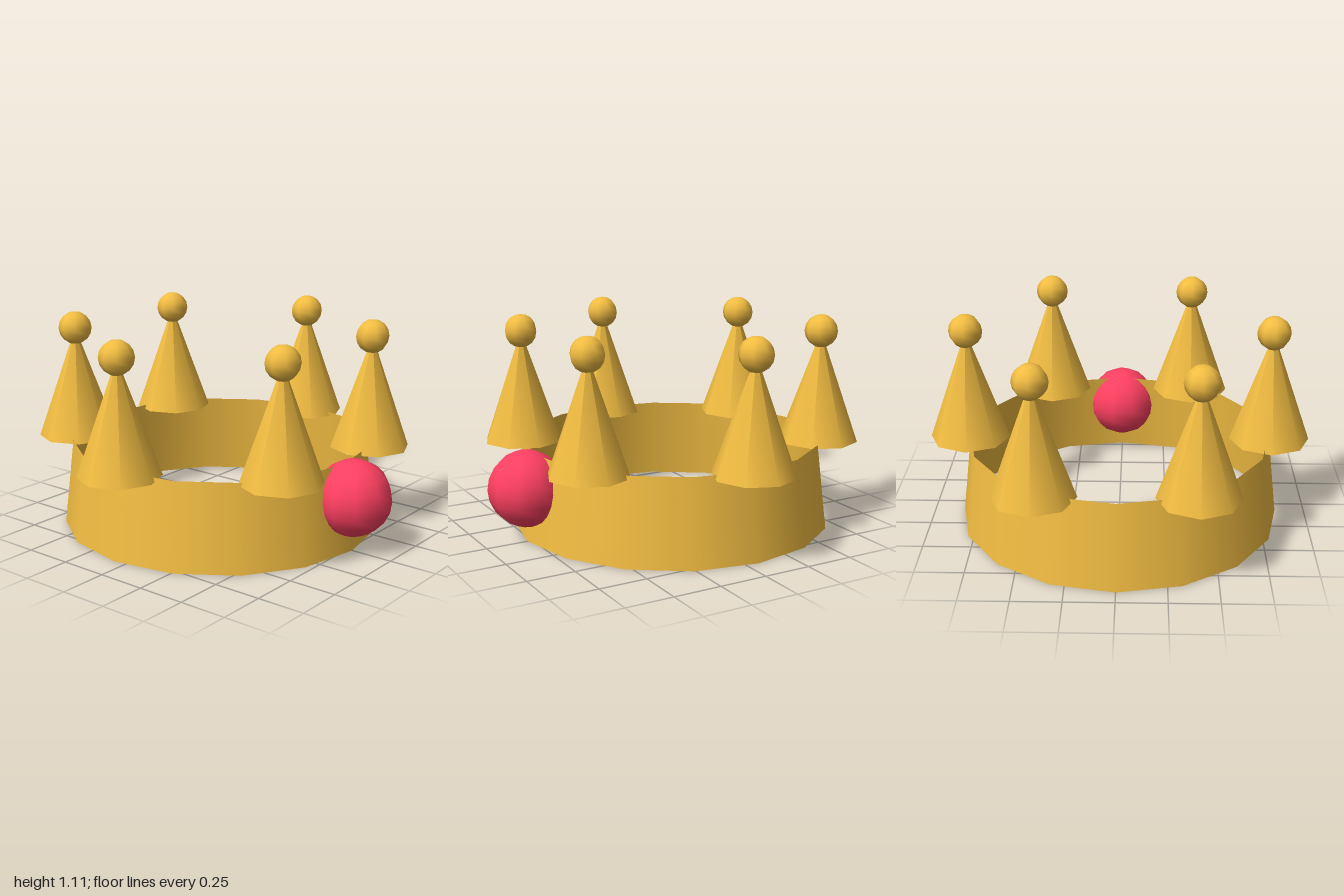
import * as THREE from 'three';

const GOLD = new THREE.MeshStandardMaterial({ color: 0xf2bd42 });
const GOLD_THIN = new THREE.MeshStandardMaterial({ color: 0xf2bd42, side: THREE.DoubleSide });
const RED = new THREE.MeshStandardMaterial({ color: 0xff4061 });

const RING_RADIUS = 0.79;
const RING_Z = -0.067;
const BAND_HEIGHT = 0.45;

function addMesh(parent, name, geometry, material, x, y, z) {
  const mesh = new THREE.Mesh(geometry, material);
  mesh.name = name;
  mesh.position.set(x, y, z);
  parent.add(mesh);
  return mesh;
}

export function createModel() {
  const crown = new THREE.Group();
  crown.name = 'crown';

  // Thin open band, slightly narrower at the top
  const band = new THREE.CylinderGeometry(RING_RADIUS, 0.845, BAND_HEIGHT, 16, 1, true);
  addMesh(crown, 'band', band, GOLD_THIN, 0, BAND_HEIGHT / 2, RING_Z);

  // Six spikes, each tipped with a small ball
  const coneHeight = 0.59;
  const cone = new THREE.ConeGeometry(0.21, coneHeight, 8);
  const ball = new THREE.SphereGeometry(0.088, 8, 8);
  for (let i = 0; i < 6; i++) {
    const angle = (i * Math.PI) / 3;
    const point = new THREE.Group();
    point.name = `point${i + 1}`;
    point.position.set(RING_RADIUS * Math.cos(angle), 0.428, RING_Z + RING_RADIUS * Math.sin(angle));
    addMesh(point, 'spike', cone, GOLD, 0, coneHeight / 2, 0);
    addMesh(point, 'spikeBall', ball, GOLD, 0, coneHeight, 0);
    crown.add(point);
  }

  // Round gem set into the front of the band
  addMesh(crown, 'frontGem', new THREE.SphereGeometry(0.197, 10, 10), RED, 0, 0.283, 0.775);

  return crown;
}
